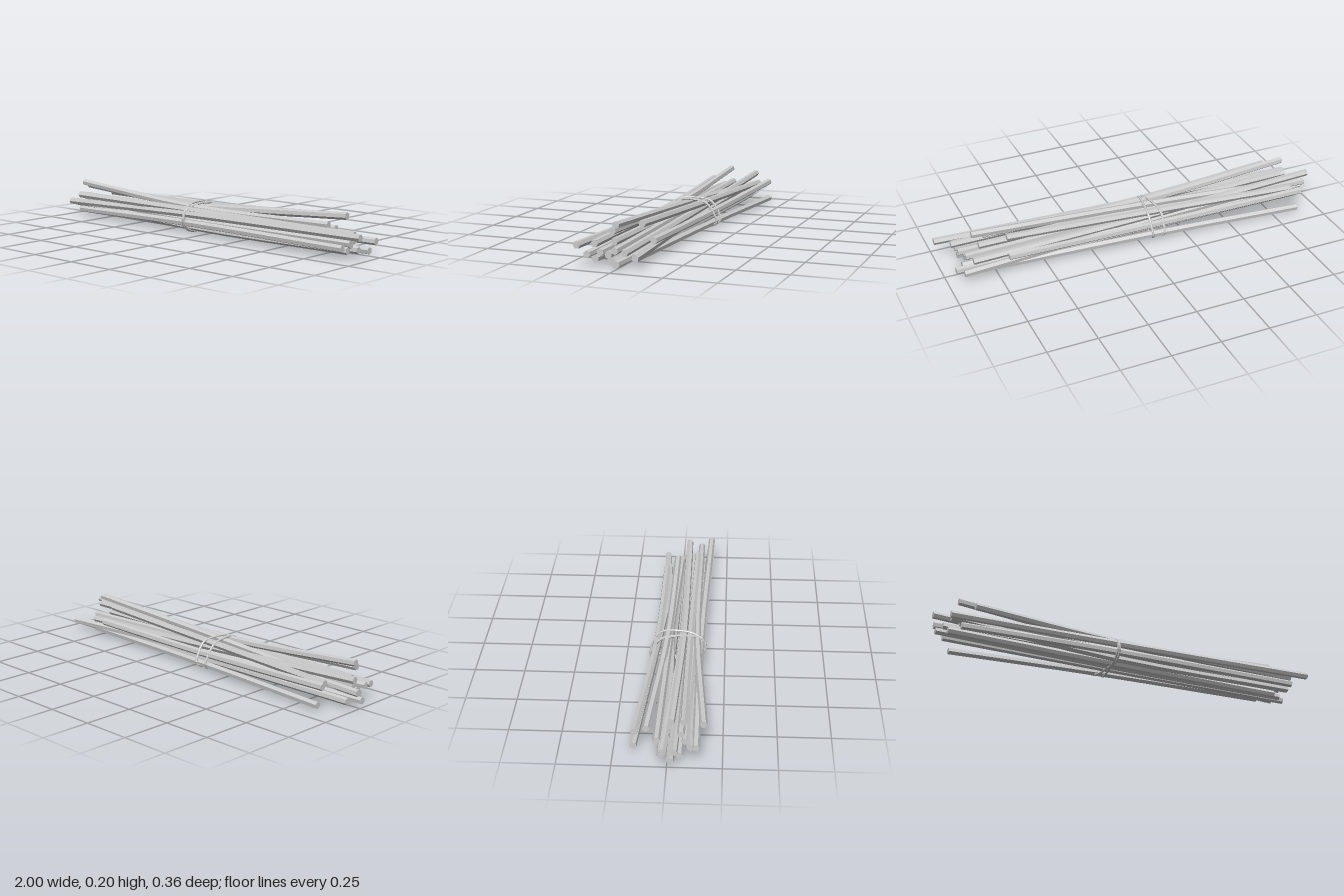
import * as THREE from 'three';

const material = new THREE.MeshStandardMaterial({ color: 0xcccccc, flatShading: true });
const TIE_X = -0.09;

// Hexagonal rod bent along a curve running from the left end to the right end
function bentStick(left, mid, right, radius, twist) {
  const curve = new THREE.CatmullRomCurve3([
    new THREE.Vector3(...left),
    new THREE.Vector3(TIE_X, ...mid),
    new THREE.Vector3(...right),
  ]);
  const geo = new THREE.CylinderGeometry(radius, radius, 1, 6, 8);
  geo.rotateY(twist);
  geo.rotateZ(-Math.PI / 2);
  const pos = geo.attributes.position;
  const p = new THREE.Vector3();
  for (let i = 0; i < pos.count; i++) {
    curve.getPoint(THREE.MathUtils.clamp(pos.getX(i) + 0.5, 0, 1), p);
    pos.setXYZ(i, p.x, p.y + pos.getY(i), p.z + pos.getZ(i));
  }
  geo.computeVertexNormals();
  return geo;
}

// Each stick: left end [x, y, z], place in the tie [y, z], right end [x, y, z]
const sticks = [
  [[-0.96, 0.08, 0.13], [0.1, 0.128], [1.0, 0.115, 0.16]],
  [[-0.9, 0.04, 0.11], [0.055, 0.128], [0.9, 0.052, 0.157]],
  [[-0.95, 0.075, 0.105], [0.032, 0.097], [0.9, 0.036, 0.115]],
  [[-0.85, 0.13, 0.162], [0.118, 0.11], [0.93, 0.112, 0.105]],
  [[-0.91, 0.183, 0.075], [0.128, 0.075], [0.77, 0.138, 0.088]],
  [[-0.78, 0.09, 0.01], [0.126, 0.04], [0.84, 0.183, 0.04]],
  [[-0.9, 0.11, 0.06], [0.09, 0.07], [0.8, 0.096, 0.066]],
  [[-0.9, 0.07, 0.08], [0.064, 0.092], [0.9, 0.066, 0.092]],
  [[-0.97, 0.06, 0.03], [0.055, 0.055], [0.88, 0.053, 0.06]],
  [[-0.95, 0.03, 0.055], [0.024, 0.058], [0.85, 0.023, 0.06]],
  [[-1.0, 0.08, -0.02], [0.088, 0.03], [0.88, 0.072, 0.03]],
  [[-1.0, 0.035, 0.015], [0.024, 0.02], [0.9, 0.027, 0.028]],
  [[-1.0, 0.148, -0.045], [0.1, -0.03], [0.85, 0.058, -0.005]],
  [[-0.95, 0.03, -0.03], [0.026, -0.02], [0.94, 0.025, -0.002]],
  [[-0.88, 0.027, -0.16], [0.032, -0.1], [0.8, 0.026, -0.04]],
  [[-0.87, 0.115, -0.1], [0.128, -0.04], [0.68, 0.163, -0.022]],
  [[-0.9, 0.118, -0.152], [0.085, -0.095], [0.69, 0.09, -0.083]],
  [[-0.88, 0.08, -0.01], [0.062, -0.02], [0.92, 0.055, -0.087]],
];

// Outline of the bundle at the tie, as [z, y]
const tieOutline = [
  [0.15, 0.06], [0.11, 0.014], [0.01, 0.007], [-0.085, 0.012], [-0.127, 0.035],
  [-0.113, 0.08], [-0.07, 0.135], [0, 0.148], [0.09, 0.141], [0.145, 0.105],
];

export function createModel() {
  const model = new THREE.Group();
  model.name = 'stickBundle';

  const bundle = new THREE.Group();
  bundle.name = 'sticks';
  sticks.forEach(([left, mid, right], i) => {
    const mesh = new THREE.Mesh(bentStick(left, mid, right, 0.018, i * 0.7), material);
    mesh.name = `stick${i + 1}`;
    bundle.add(mesh);
  });
  model.add(bundle);

  // Two cord loops, spread apart at the back and crossing at the front
  for (const s of [-1, 1]) {
    const points = tieOutline.map(([z, y]) =>
      new THREE.Vector3(-0.095 + s * (0.018 - 0.14 * z + 0.12 * (y - 0.08)), y, z));
    const path = new THREE.CatmullRomCurve3(points, true);
    const loop = new THREE.Mesh(new THREE.TubeGeometry(path, 40, 0.006, 6, true), material);
    loop.name = s < 0 ? 'cordLoopRight' : 'cordLoopLeft';
    model.add(loop);
  }
  return model;
}
